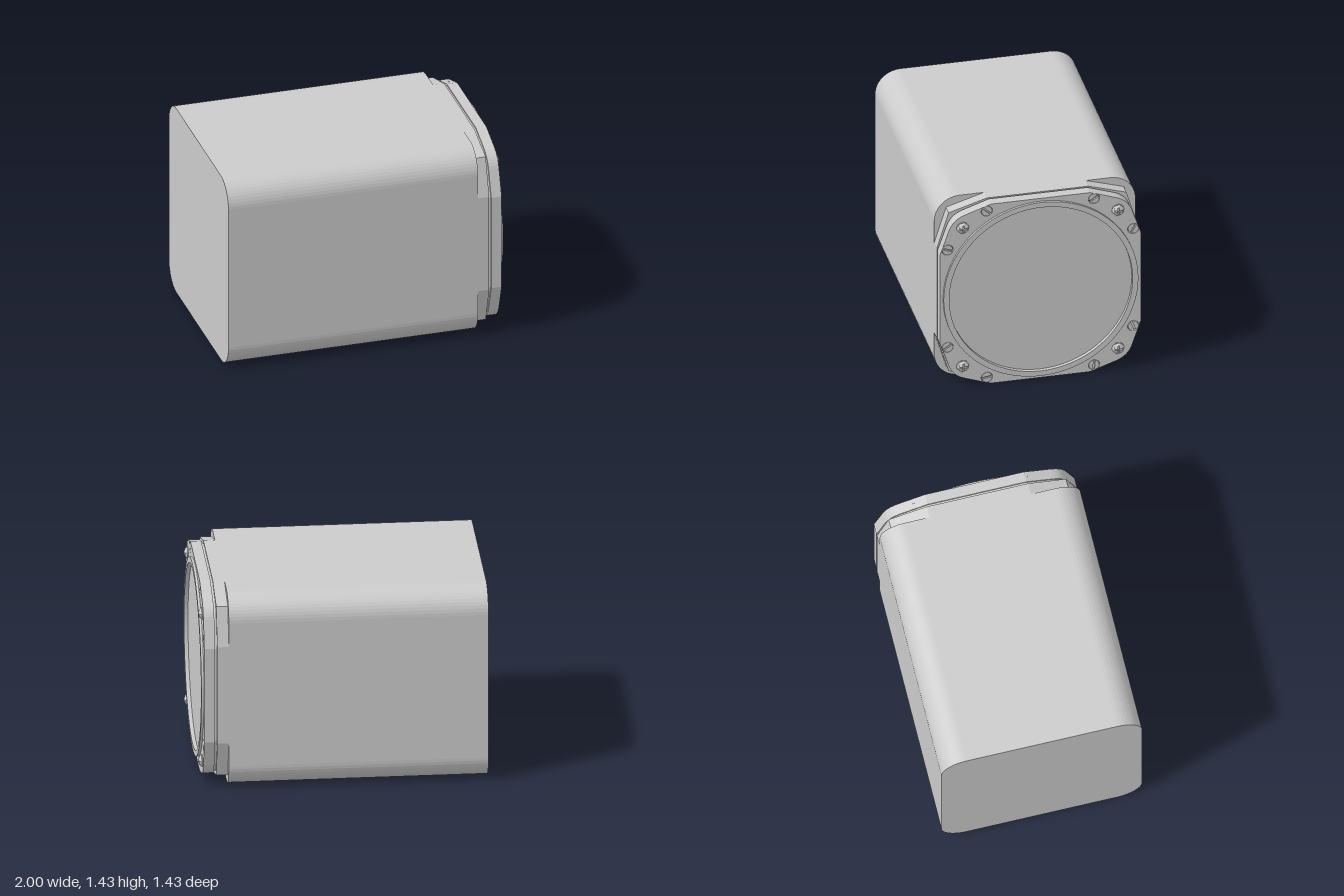
import * as THREE from 'three';

const material = new THREE.MeshStandardMaterial({ color: 0xcccccc });
const H = 0.713; // half width of the square case

// Parts are drawn in the dial plane and extruded along the depth axis
function slab(parent, name, shape, from, to, curveSegments = 6) {
  const geometry = new THREE.ExtrudeGeometry(shape, { depth: to - from, bevelEnabled: false, curveSegments });
  geometry.translate(0, 0, from);
  const mesh = new THREE.Mesh(geometry, material);
  mesh.name = name;
  parent.add(mesh);
  return mesh;
}

function disc(r, x = 0, y = 0) {
  const s = new THREE.Shape();
  s.absarc(x, y, r, 0, Math.PI * 2, false);
  return s;
}

function roundedSquare(h, r) {
  const s = new THREE.Shape();
  for (let i = 0; i < 4; i++) {
    const a = i * Math.PI / 2, k = h - r;
    const sx = i === 0 || i === 3 ? 1 : -1, sy = i < 2 ? 1 : -1;
    s.absarc(sx * k, sy * k, r, a, a + Math.PI / 2, false);
  }
  s.closePath();
  return s;
}

// Square with shallow tapered corners; each corner list runs counter-clockwise
function taperedSquare(corner, scale = 1) {
  const points = [];
  for (let i = 0; i < 4; i++) {
    for (const p of corner) {
      points.push(new THREE.Vector2(p[0] * scale, p[1] * scale)
        .rotateAround(new THREE.Vector2(), i * Math.PI / 2));
    }
  }
  return new THREE.Shape(points);
}

// Domed screw head with a cross recess
function crossScrew(x, y) {
  const screw = new THREE.Group();
  screw.name = 'crossScrew';
  const R = 0.045, a = 0.027, b = 0.005;
  const head = disc(R);
  const cross = [];
  for (let i = 0; i < 4; i++) {
    for (const p of [[a, -b], [a, b], [b, b]]) {
      cross.push(new THREE.Vector2(p[0], p[1]).rotateAround(new THREE.Vector2(), i * Math.PI / 2));
    }
  }
  head.holes.push(new THREE.Path(cross));
  const dome = slab(screw, 'screwHead', head, 0, 0.03, 12);
  const pos = dome.geometry.attributes.position;
  for (let i = 0; i < pos.count; i++) {
    if (pos.getZ(i) > 0.01) {
      const r = Math.hypot(pos.getX(i), pos.getY(i)) / R;
      pos.setZ(i, 0.006 + 0.024 * (1 - r * r));
    }
  }
  dome.geometry.computeVertexNormals();
  slab(screw, 'recessFloor', disc(0.035), 0, 0.008, 12);
  screw.position.set(x, y, 0.97);
  return screw;
}

// Flush screw head with a straight slot
function slottedScrew(x, y, angle) {
  const screw = new THREE.Group();
  screw.name = 'slottedScrew';
  const R = 0.037, t = Math.asin(0.006 / R);
  for (const start of [0, Math.PI]) {
    const half = new THREE.Shape();
    half.absarc(0, 0, R, start + t, start + Math.PI - t, false);
    half.closePath();
    slab(screw, 'screwHalf', half, -0.03, 0, 12);
  }
  slab(screw, 'slotFloor', disc(0.0365), -0.03, -0.012, 12);
  screw.position.set(x, y, 0.97);
  screw.rotation.z = angle;
  return screw;
}

export function createModel() {
  const model = new THREE.Group();
  model.name = 'instrument';
  const body = new THREE.Group();
  body.name = 'instrumentBody';
  body.rotation.y = Math.PI / 2; // depth axis to +x
  body.position.y = H;
  model.add(body);

  // Case with notched front corners
  slab(body, 'case', roundedSquare(H, 0.18), -1, 0.8);
  slab(body, 'notchedFlange', taperedSquare([[H, 0.36], [0.63, 0.63], [0.36, H]]), 0.8, 0.88);

  // Bezel outline with rounded tapered corners
  const curve = new THREE.QuadraticBezierCurve(
    new THREE.Vector2(0.648, 0.54), new THREE.Vector2(0.619, 0.619), new THREE.Vector2(0.54, 0.648));
  const corner = [[H, 0.35], ...curve.getPoints(8).map(p => [p.x, p.y]), [0.35, H]];
  slab(body, 'seam', taperedSquare(corner, 0.985), 0.88, 0.895);
  slab(body, 'bezelBack', taperedSquare(corner), 0.895, 0.935);

  const slots = [];
  for (const sx of [1, -1]) {
    for (const sy of [1, -1]) slots.push([sx * 0.38, sy * 0.662], [sx * 0.658, sy * 0.387]);
  }
  const bezel = taperedSquare(corner);
  bezel.holes.push(disc(0.69));
  for (const [x, y] of slots) bezel.holes.push(disc(0.04, x, y));
  slab(body, 'bezelFront', bezel, 0.935, 0.97, 40);

  // Raised ring and recessed glass
  const ring = disc(0.69);
  ring.holes.push(disc(0.65));
  slab(body, 'glassRing', ring, 0.935, 0.988, 48);
  slab(body, 'glass', disc(0.655), 0.935, 0.96, 48);

  // Screws
  slots.forEach(([x, y], i) => body.add(slottedScrew(x, y, 0.6 + i * 0.45)));
  for (const x of [0.55, -0.55]) {
    for (const y of [0.55, -0.55]) body.add(crossScrew(x, y));
  }
  return model;
}
